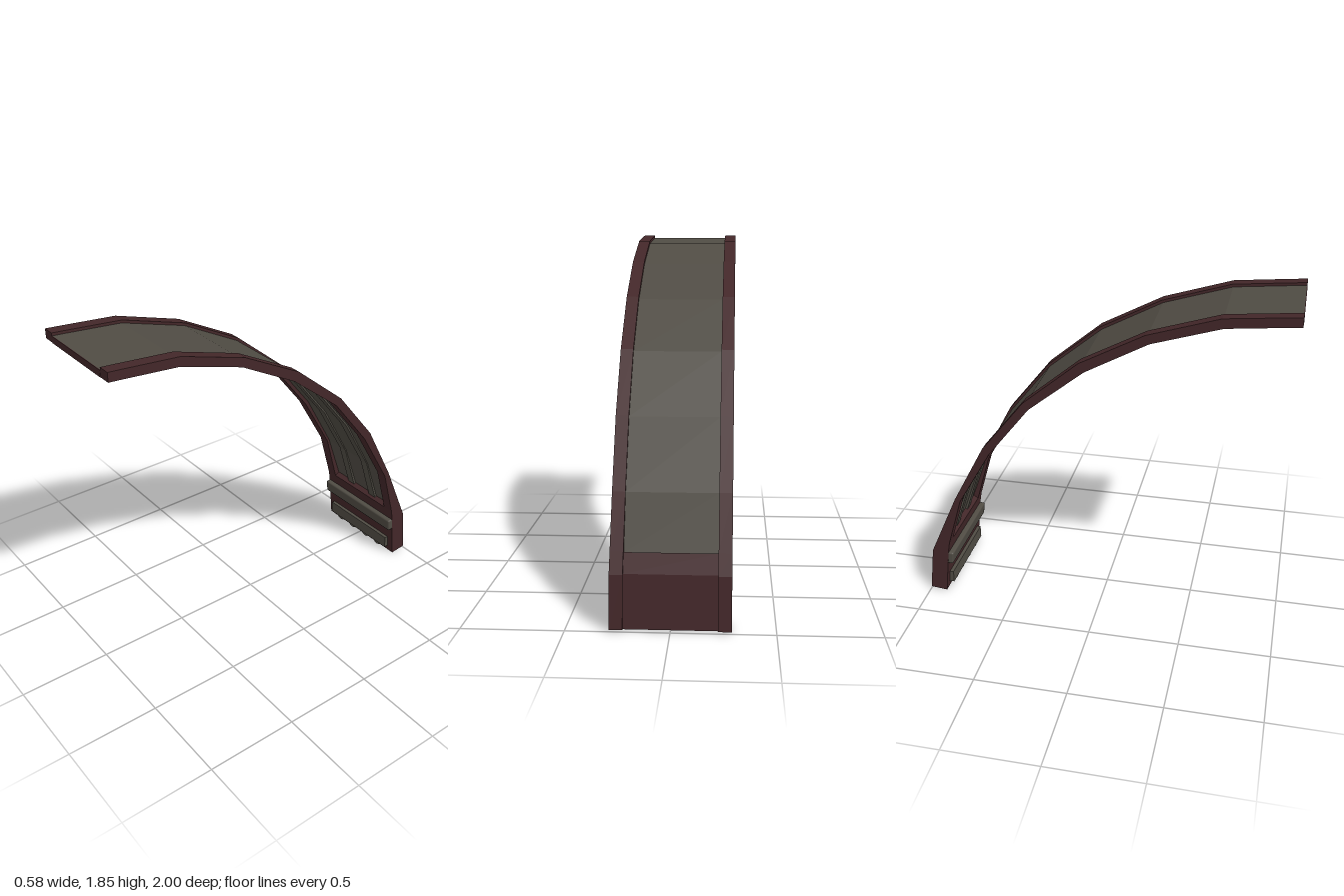
import * as THREE from 'three';
import { RoundedBoxGeometry } from 'three/addons/geometries/RoundedBoxGeometry.js';

// Stations along the arch: [outer z, outer y, inner z, inner y], tip to foot
const STATIONS = [
  [1, 1.85, 1, 1.8], [0.93, 1.844, 0.93, 1.794], [0.62, 1.815, 0.63, 1.765],
  [0.25, 1.70, 0.27, 1.655], [-0.09, 1.52, -0.06, 1.475], [-0.39, 1.27, -0.36, 1.235],
  [-0.63, 0.97, -0.59, 0.945], [-0.81, 0.63, -0.78, 0.62], [-0.925, 0.37, -0.865, 0.33],
  [-0.97, 0.27, -0.875, 0.27], [-1, 0.01, -0.905, 0],
];

export function createModel() {
  const group = new THREE.Group();
  const paint = (name, color) => {
    const m = new THREE.MeshStandardMaterial({ color });
    m.name = name;
    return m;
  };
  const red = paint('dark red frame', 0x432729);
  const grey = paint('warm grey panel', 0x504c44);

  const add = (name, geometry, material, x = 0, y = 0, z = 0) => {
    const mesh = new THREE.Mesh(geometry, material);
    mesh.name = name;
    mesh.position.set(x, y, z);
    group.add(mesh);
    return mesh;
  };

  // Curved band between depths t0 and t1 (0 outer, 1 inner), x0 to x1, over a run of stations
  const band = (name, material, x0, x1, t0, t1, from, to) => {
    const run = STATIONS.slice(from, to + 1);
    const at = (t) => run.map(([oz, oy, iz, iy]) =>
      new THREE.Vector2(oz + (iz - oz) * t, oy + (iy - oy) * t));
    const shape = new THREE.Shape([...at(t0), ...at(t1).reverse()]);
    const g = new THREE.ExtrudeGeometry(shape, { depth: x1 - x0, bevelEnabled: false });
    g.rotateY(-Math.PI / 2);
    g.translate(x1, 0, 0);
    return add(name, g, material);
  };

  // Side rails
  band('leftRail', red, 0.225, 0.29, 0, 1, 0, 10);
  band('rightRail', red, -0.29, -0.225, 0, 1, 0, 10);

  // Recessed panel with its two underside ribs
  band('panel', grey, -0.225, 0.225, 0.3, 0.55, 0, 8);
  band('rightRib', grey, -0.118, -0.065, 0.55, 0.75, 1, 8);
  band('leftRib', grey, 0.07, 0.125, 0.55, 0.75, 1, 8);

  // Cross members at tip and foot
  band('tipBeam', red, -0.225, 0.225, 0.5, 1, 0, 1);
  add('tipFace', new THREE.BoxGeometry(0.45, 0.036, 0.004), red, 0, 1.817, 0.999);
  band('footBlock', red, -0.225, 0.225, 0.15, 1, 8, 10);

  // Grey bumper bar across the foot
  const bar = add('footBar', new RoundedBoxGeometry(0.58, 0.075, 0.036, 2, 0.01), grey, 0, 0.227, -0.868);
  bar.rotation.x = 0.1;

  // Lower plate with round studs peeking out below
  add('footPlate', new THREE.BoxGeometry(0.5, 0.07, 0.03), grey, 0, 0.07, -0.887);
  for (const x of [-0.17, -0.06, 0.06, 0.17]) {
    const stud = new THREE.CylinderGeometry(0.04, 0.04, 0.02, 12);
    stud.rotateX(Math.PI / 2);
    add('footStud', stud, grey, x, 0.05, -0.893);
  }
  return group;
}
